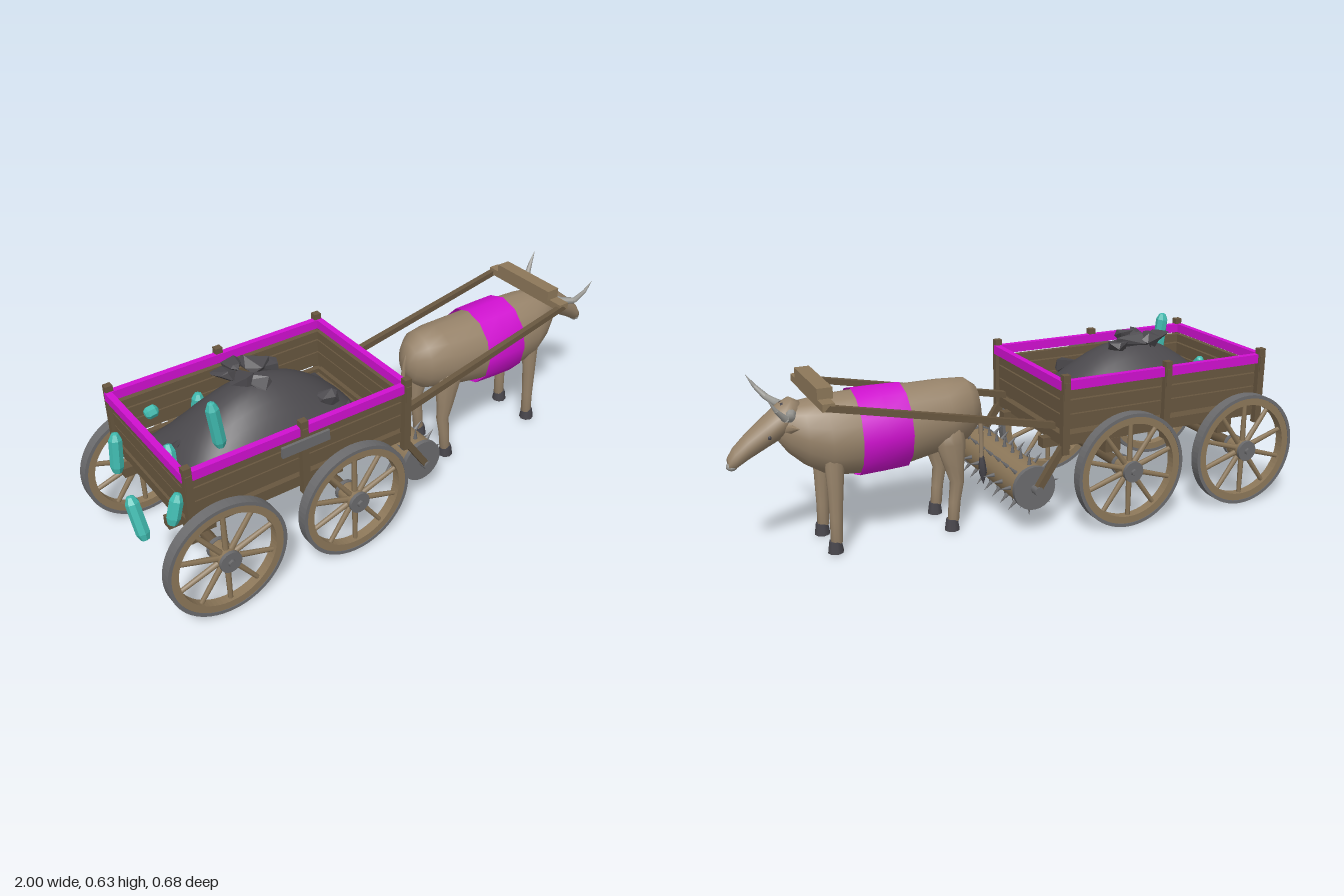
import * as THREE from 'three';
import { ConvexGeometry } from 'three/addons/geometries/ConvexGeometry.js';

const mat = (name, color) => {
  const m = new THREE.MeshStandardMaterial({ color });
  m.name = name;
  return m;
};
const V = (x, y, z) => new THREE.Vector3(x, y, z);

export function createModel() {
  const root = new THREE.Group();
  root.name = 'oxWagon';
  const hide = mat('hide', 0x97836a), wood = mat('darkWood', 0x67563f), pale = mat('paleWood', 0x8c7759);
  const iron = mat('iron', 0x6b6b6d), coal = mat('coal', 0x4b494d), horn = mat('horn', 0x9a9994);
  const dark = mat('hoof', 0x47454b), teal = mat('crystal', 0x3fb8ad), cloth = mat('magentaPaint', 0xd010d0);
  cloth.side = THREE.DoubleSide;

  const add = (name, geo, m, parent = root) => {
    const mesh = new THREE.Mesh(geo, m);
    mesh.name = name;
    parent.add(mesh);
    return mesh;
  };
  const group = (name, parent = root) => {
    const g = new THREE.Group();
    g.name = name;
    parent.add(g);
    return g;
  };
  const box = (name, m, p, x, y, z, w, h, d) => {
    const b = add(name, new THREE.BoxGeometry(w, h, d), m, p);
    b.position.set(x, y, z);
    return b;
  };
  // Round or square bar between two points
  const rod = (name, m, p, a, b, r0, r1 = r0, n = 8) => {
    const geo = new THREE.CylinderGeometry(r1, r0, a.distanceTo(b), n);
    if (n === 4) geo.rotateY(Math.PI / 4);
    const r = add(name, n === 4 ? geo.toNonIndexed() : geo, m, p);
    if (n === 4) r.geometry.computeVertexNormals();
    r.position.copy(a).lerp(b, 0.5);
    r.quaternion.setFromUnitVectors(V(0, 1, 0), b.clone().sub(a).normalize());
    return r;
  };
  // Elliptic cross-sections [x, y, z, rA, rB], stacked along x (A=y, B=z) or y (A=z, B=x)
  const loft = (secs, n, axis = 'x', caps = true) => {
    const pos = [], idx = [];
    for (const [x, y, z, ra, rb] of secs) {
      for (let j = 0; j < n; j++) {
        const a = j / n * Math.PI * 2, A = Math.cos(a) * ra, B = Math.sin(a) * rb;
        if (axis === 'x') pos.push(x, y + A, z + B);
        else pos.push(x + B, y, z + A);
      }
    }
    for (let i = 0; i < secs.length - 1; i++) {
      for (let j = 0; j < n; j++) {
        const a = i * n + j, b = i * n + (j + 1) % n;
        idx.push(a, b, a + n, b, b + n, a + n);
      }
    }
    if (caps) {
      const last = (secs.length - 1) * n, c = secs.length * n;
      pos.push(...secs[0].slice(0, 3), ...secs.at(-1).slice(0, 3));
      for (let j = 0; j < n; j++) {
        const k = (j + 1) % n;
        idx.push(c, k, j, c + 1, last + j, last + k);
      }
    }
    const g = new THREE.BufferGeometry();
    g.setAttribute('position', new THREE.Float32BufferAttribute(pos, 3));
    g.setIndex(idx);
    g.computeVertexNormals();
    return g;
  };
  let seed = 7;
  const rnd = () => (seed = (seed * 16807) % 2147483647) / 2147483647;

  // Wagon box: floor, planks, painted top rail, posts
  const wagon = group('wagon');
  const cx = -0.457;
  box('floor', wood, wagon, cx, 0.325, 0, 0.79, 0.02, 0.49);
  for (const [y, h] of [[0.49, 0.03], [0.447, 0.045], [0.395, 0.05], [0.332, 0.038]]) {
    for (const s of [-1, 1]) {
      box('sidePlank', wood, wagon, cx, y, s * 0.245, 0.78, h, 0.02);
      box('endPlank', wood, wagon, cx + s * 0.39, y, 0, 0.02, h, 0.48);
    }
  }
  for (const s of [-1, 1]) {
    box('sideRail', cloth, wagon, cx, 0.526, s * 0.258, 0.81, 0.032, 0.022);
    box('endRail', cloth, wagon, cx + s * 0.4, 0.526, 0, 0.022, 0.032, 0.52);
    for (const x of [-0.852, cx, -0.062]) {
      box('post', wood, wagon, x, 0.425, s * 0.263, 0.026, 0.275, 0.024);
      box('postBand', wood, wagon, x, 0.507, s * 0.272, 0.02, 0.06, 0.014);
    }
    box('chassisBeam', wood, wagon, cx, 0.302, s * 0.155, 0.86, 0.035, 0.035);
  }
  box('ironPlate', iron, wagon, -0.47, 0.502, 0.298, 0.17, 0.036, 0.01);

  // Axles and spoked wheels
  for (const x of [-0.77, -0.295]) {
    box('bolster', wood, wagon, x, 0.26, 0, 0.06, 0.05, 0.38);
    rod('axle', wood, wagon, V(x, 0.207, -0.26), V(x, 0.207, 0.26), 0.02);
    for (const s of [-1, 1]) {
      const w = group('wheel');
      w.position.set(x, 0.207, s * 0.3);
      const ring = (name, m, R, r, d) => {
        const shape = new THREE.Shape().absarc(0, 0, R, 0, Math.PI * 2);
        shape.holes.push(new THREE.Path().absarc(0, 0, r, 0, Math.PI * 2, true));
        const g = new THREE.ExtrudeGeometry(shape, { depth: d, bevelEnabled: false, curveSegments: 32 });
        add(name, g.translate(0, 0, -d / 2), m, w);
      };
      ring('tyre', iron, 0.205, 0.193, 0.038);
      ring('rim', pale, 0.194, 0.168, 0.034);
      for (let i = 0; i < 10; i++) {
        const a = Math.PI / 2 + i * Math.PI / 5, c = Math.cos(a), q = Math.sin(a);
        rod('spoke', pale, w, V(c * 0.03, q * 0.03, 0), V(c * 0.172, q * 0.172, 0), 0.01, 0.008, 6);
      }
      rod('hub', pale, w, V(0, 0, -0.055 * s), V(0, 0, 0.022 * s), 0.034, 0.034, 16);
      rod('hubBandInner', iron, w, V(0, 0, -0.06 * s), V(0, 0, -0.046 * s), 0.037, 0.037, 16);
      rod('hubBandOuter', iron, w, V(0, 0, 0.02 * s), V(0, 0, 0.032 * s), 0.037, 0.037, 16);
      rod('axleCap', iron, w, V(0, 0, 0.03 * s), V(0, 0, 0.04 * s), 0.013, 0.011, 6);
    }
  }

  // Coal heap with loose lumps
  const heap = new THREE.PlaneGeometry(0.7, 0.42, 20, 14).rotateX(-Math.PI / 2);
  const hp = heap.attributes.position;
  for (let i = 0; i < hp.count; i++) {
    const u = Math.cos(hp.getX(i) / 0.7 * Math.PI), v = Math.cos(hp.getZ(i) / 0.42 * Math.PI);
    hp.setY(i, 0.36 + 0.22 * Math.pow(Math.max(0, u * v), 0.8));
  }
  heap.computeVertexNormals();
  add('coalHeap', heap, coal).position.set(-0.46, 0, 0);
  const lumps = [[-0.55, 0.585, -0.06, 0.05], [-0.49, 0.595, -0.02, 0.06], [-0.43, 0.59, -0.07, 0.055],
    [-0.47, 0.585, 0.03, 0.045], [-0.39, 0.57, -0.05, 0.045], [-0.5, 0.595, -0.08, 0.045],
    [-0.26, 0.48, 0.1, 0.045], [-0.19, 0.42, 0.13, 0.04], [-0.76, 0.43, -0.03, 0.045]];
  for (const [x, y, z, r] of lumps) {
    const pts = Array.from({ length: 10 }, () => V(rnd() - 0.5, rnd() - 0.5, rnd() - 0.5).normalize().multiplyScalar(r));
    const m = add('coalLump', new ConvexGeometry(pts), coal);
    m.position.set(x, y, z);
    m.scale.set(1, 0.75, 0.9);
  }

  // Crystals: faceted prisms with pointed ends, given by end points
  const crystals = [[-0.66, 0.46, 0.11, -0.68, 0.632, 0.11], [-0.975, 0.31, 0.2, -0.985, 0.45, 0.15],
    [-0.915, 0.33, -0.12, -0.9, 0.475, -0.13], [-0.9, 0.35, 0.23, -0.865, 0.45, 0.22],
    [-0.565, 0.42, 0.222, -0.515, 0.42, 0.222], [-0.81, 0.38, 0.06, -0.79, 0.47, 0.01],
    [-0.76, 0.43, -0.225, -0.71, 0.44, -0.222], [-0.6, 0.4, -0.165, -0.59, 0.485, -0.165]];
  for (const [a, b, c, d, e, f] of crystals) {
    const p = V(a, b, c), q = V(d, e, f), L = p.distanceTo(q), k = Math.min(0.025, L * 0.25);
    const prof = [[0, 0], [0.014, 0.003], [0.022, k], [0.022, L - k], [0.012, L - 0.004], [0, L]];
    const g = new THREE.LatheGeometry(prof.map(([r, y]) => new THREE.Vector2(r, y)), 7).toNonIndexed();
    g.computeVertexNormals();
    const m = add('crystal', g, teal);
    m.position.copy(p);
    m.quaternion.setFromUnitVectors(V(0, 1, 0), q.sub(p).normalize());
  }

  // Spiked roller on two arms
  const roller = group('spikedRoller');
  const rx = 0.035, ry = 0.172;
  rod('drum', pale, roller, V(rx, ry, -0.235), V(rx, ry, 0.235), 0.072, 0.072, 24);
  for (const s of [-1, 1]) {
    rod('drumBand', iron, roller, V(rx, ry, s * 0.222), V(rx, ry, s * 0.238), 0.077, 0.077, 24);
    rod('arm', wood, roller, V(-0.065, 0.32, s * 0.255), V(0.04, 0.165, s * 0.255), 0.016, 0.016, 4);
    rod('armPin', iron, roller, V(rx, ry, s * 0.23), V(rx, ry, s * 0.272), 0.016, 0.016, 8);
  }
  for (let i = 0; i < 8; i++) {
    const a = i * Math.PI / 4, c = Math.cos(a), q = Math.sin(a);
    for (let k = -3; k <= 3; k++) {
      rod('spike', iron, roller, V(rx + c * 0.068, ry + q * 0.068, k * 0.065),
        V(rx + c * 0.112, ry + q * 0.112, k * 0.065), 0.008, 0.0005, 6);
    }
  }

  // Shafts and yoke
  for (const s of [-1, 1]) {
    rod('shaft', wood, root, V(-0.06, 0.37, s * 0.195), V(0.72, 0.535, s * 0.18), 0.016, 0.014, 4);
  }
  box('yokeBeam', pale, root, 0.71, 0.537, 0, 0.04, 0.025, 0.38);
  box('yokePad', pale, root, 0.705, 0.566, 0, 0.05, 0.037, 0.27);

  // Ox body and painted blanket
  const ox = group('ox');
  add('body', loft([[0.135, 0.41, 0, 0.03, 0.025], [0.15, 0.413, 0, 0.075, 0.055], [0.19, 0.41, 0, 0.108, 0.09],
    [0.27, 0.4, 0, 0.121, 0.115], [0.42, 0.386, 0, 0.135, 0.125], [0.58, 0.384, 0, 0.14, 0.125],
    [0.68, 0.386, 0, 0.134, 0.118], [0.75, 0.405, 0, 0.108, 0.092], [0.8, 0.425, 0, 0.08, 0.062],
    [0.83, 0.43, 0, 0.04, 0.035]], 16), hide, ox);
  add('blanket', loft([[0.418, 0.386, 0, 0.145, 0.134], [0.5, 0.385, 0, 0.148, 0.136],
    [0.587, 0.384, 0, 0.15, 0.135]], 12, 'x', false), cloth, ox);

  // Head
  add('head', loft([[0.75, 0.465, 0, 0.045, 0.035], [0.785, 0.48, 0, 0.05, 0.05], [0.82, 0.456, 0, 0.057, 0.057],
    [0.87, 0.424, 0, 0.05, 0.05], [0.93, 0.384, 0, 0.042, 0.037], [0.97, 0.353, 0, 0.035, 0.03],
    [0.99, 0.338, 0, 0.02, 0.02]], 12), hide, ox);
  const ball = (name, m, x, y, z, a, b, c) => {
    const e = add(name, new THREE.SphereGeometry(1, 10, 8), m, ox);
    e.position.set(x, y, z);
    e.scale.set(a, b, c);
  };
  ball('muzzle', horn, 0.98, 0.327, 0, 0.018, 0.014, 0.021);
  ball('forelock', dark, 0.8, 0.502, 0, 0.025, 0.016, 0.033);
  for (const s of [-1, 1]) {
    ball('eye', dark, 0.865, 0.42, s * 0.05, 0.006, 0.007, 0.004);
    rod('ear', hide, ox, V(0.8, 0.438, s * 0.045), V(0.785, 0.455, s * 0.11), 0.018, 0.001, 6);
    const path = [[0.79, 0.485, 0.035], [0.805, 0.487, 0.085], [0.83, 0.5, 0.128], [0.86, 0.535, 0.145], [0.885, 0.575, 0.153]];
    const rad = [0.017, 0.014, 0.011, 0.007, 0.0005];
    for (let i = 0; i < 4; i++) {
      const [a, b] = [path[i], path[i + 1]].map(([x, y, z]) => V(x, y, z * s));
      rod('horn', horn, ox, a, b, rad[i], rad[i + 1], 8);
    }
    // Legs and hooves
    const z = s * 0.08;
    add('frontLeg', loft([[0.68, 0.04, z, 0.019, 0.02], [0.678, 0.12, z, 0.019, 0.021], [0.675, 0.22, z, 0.022, 0.026],
      [0.672, 0.33, z * 0.97, 0.026, 0.034], [0.67, 0.38, z * 0.95, 0.022, 0.03]], 10, 'y'), hide, ox);
    add('hindLeg', loft([[0.268, 0.04, z, 0.019, 0.02], [0.262, 0.11, z, 0.019, 0.021], [0.252, 0.18, z, 0.021, 0.025],
      [0.262, 0.24, z, 0.026, 0.036], [0.272, 0.32, z, 0.032, 0.053], [0.275, 0.37, z, 0.028, 0.045]], 10, 'y'), hide, ox);
    for (const x of [0.685, 0.273]) rod('hoof', dark, ox, V(x, 0.006, z), V(x, 0.046, z), 0.027, 0.021, 8);
  }

  // Tail with tuft
  const tail = new THREE.CatmullRomCurve3([V(0.16, 0.475, 0), V(0.138, 0.43, 0), V(0.127, 0.34, 0), V(0.124, 0.22, 0)]);
  add('tail', new THREE.TubeGeometry(tail, 12, 0.008, 6), hide, ox);
  add('tailTuft', loft([[0.118, 0.118, 0, 0.001, 0.001], [0.12, 0.16, 0, 0.014, 0.014], [0.122, 0.19, 0, 0.013, 0.013],
    [0.124, 0.235, 0, 0.006, 0.006]], 6, 'y'), dark, ox);
  return root;
}
